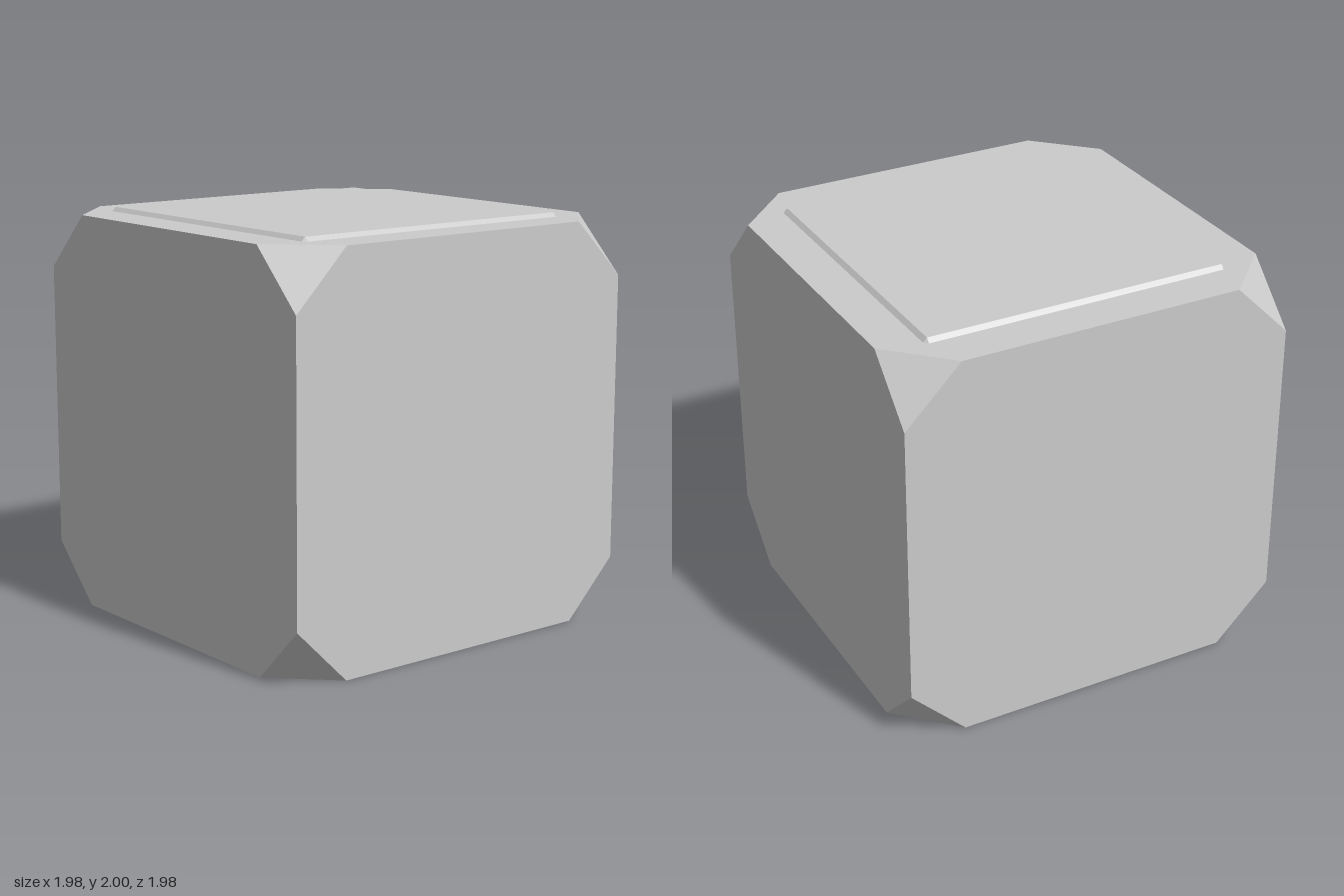
import * as THREE from 'three';
import { ConvexGeometry } from 'three/addons/geometries/ConvexGeometry.js';

const HALF = 0.99;        // half the cube's side
const CUT = 0.28;         // length cut from each edge at the corners
const PAD = 0.782;        // half width of the raised pad
const BEVEL = 0.02;       // bevel and height of the pad
const SIGNS = [-1, 1];

// Calls fn for every combination of x and z sign
function eachCorner(fn) {
  for (const sx of SIGNS) for (const sz of SIGNS) fn(sx, sz);
}

function hullMesh(name, points) {
  const material = new THREE.MeshStandardMaterial({ color: 0xcccccc, flatShading: true });
  const mesh = new THREE.Mesh(new ConvexGeometry(points), material);
  mesh.name = name;
  return mesh;
}

export function createModel() {
  const group = new THREE.Group();
  group.name = 'cutCornerCube';

  // Cube with its eight corners sliced off: three points round each corner
  const k = HALF - CUT;
  const bodyPoints = [];
  for (const sy of SIGNS) {
    eachCorner((sx, sz) => {
      for (const [x, y, z] of [[k, HALF, HALF], [HALF, k, HALF], [HALF, HALF, k]]) {
        bodyPoints.push(new THREE.Vector3(sx * x, sy * y, sz * z));
      }
    });
  }
  const body = hullMesh('body', bodyPoints);
  body.position.y = HALF;
  group.add(body);

  // Thin pad on top: square top face, bevelled sides and clipped corners
  const inner = PAD - BEVEL;
  const padPoints = [];
  eachCorner((sx, sz) => {
    padPoints.push(
      new THREE.Vector3(sx * inner, BEVEL, sz * inner),
      new THREE.Vector3(sx * PAD, 0, sz * inner),
      new THREE.Vector3(sx * inner, 0, sz * PAD),
      new THREE.Vector3(sx * inner, -BEVEL, sz * inner)
    );
  });
  const pad = hullMesh('topPad', padPoints);
  pad.position.y = 2 * HALF;
  group.add(pad);

  return group;
}
